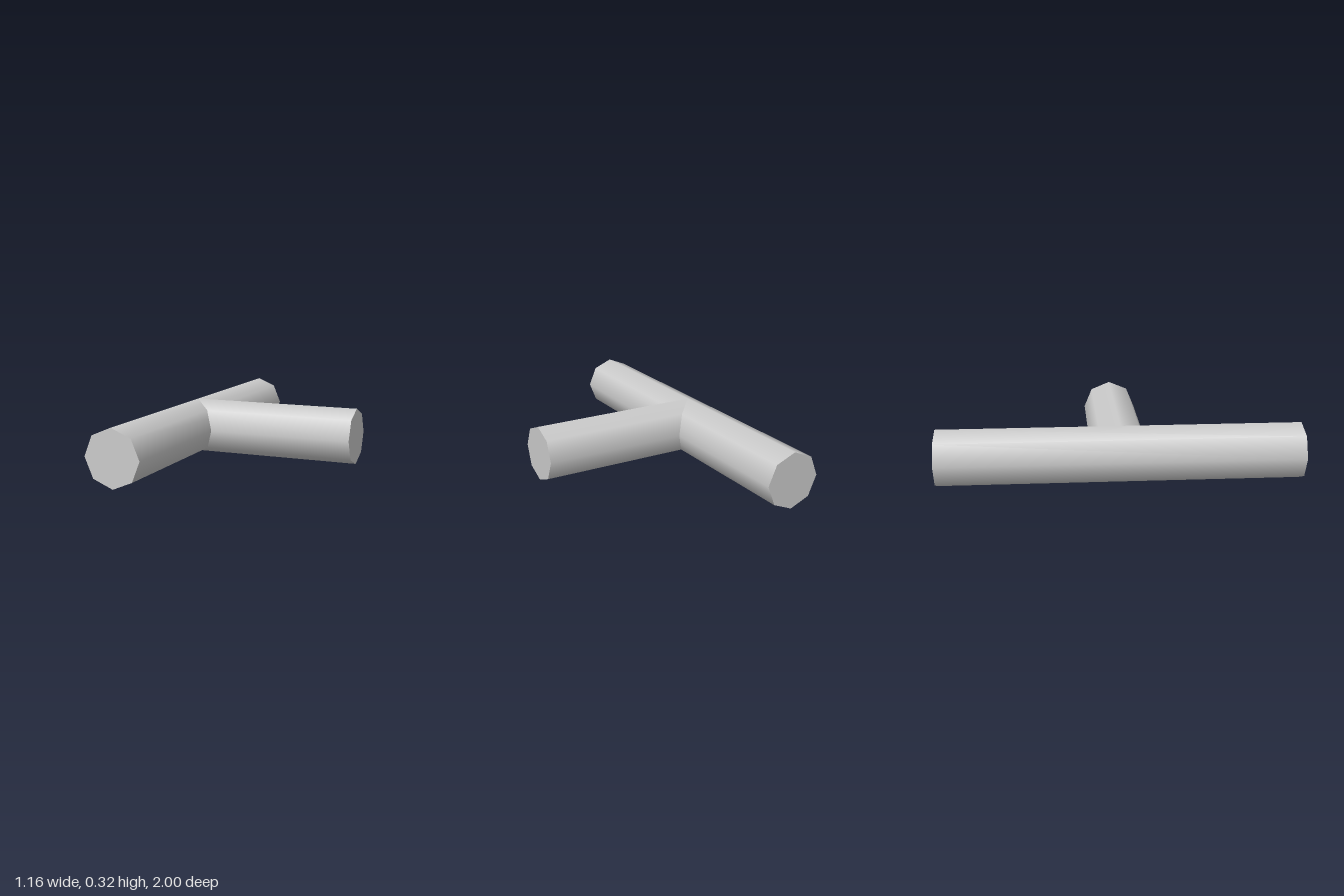
import * as THREE from 'three';

const RADIUS = 0.161;
const SIDES = 8;

// Smooth-shaded octagonal bar with flat end caps
function bar(name, length, material) {
  const mesh = new THREE.Mesh(new THREE.CylinderGeometry(RADIUS, RADIUS, length, SIDES), material);
  mesh.name = name;
  return mesh;
}

export function createModel() {
  const group = new THREE.Group();
  group.name = 'teeJoint';
  const material = new THREE.MeshStandardMaterial({ color: 0xcccccc });
  const axisX = -0.42;

  // Long bar running front to back
  const main = bar('mainBar', 2, material);
  main.geometry.rotateX(Math.PI / 2);
  main.position.set(axisX, RADIUS, 0);

  // Side branch starting on the main bar's axis
  const branch = bar('branchBar', 1, material);
  branch.geometry.rotateZ(-Math.PI / 2);
  branch.position.set(axisX + 0.5, RADIUS, 0);

  group.add(main, branch);
  return group;
}
